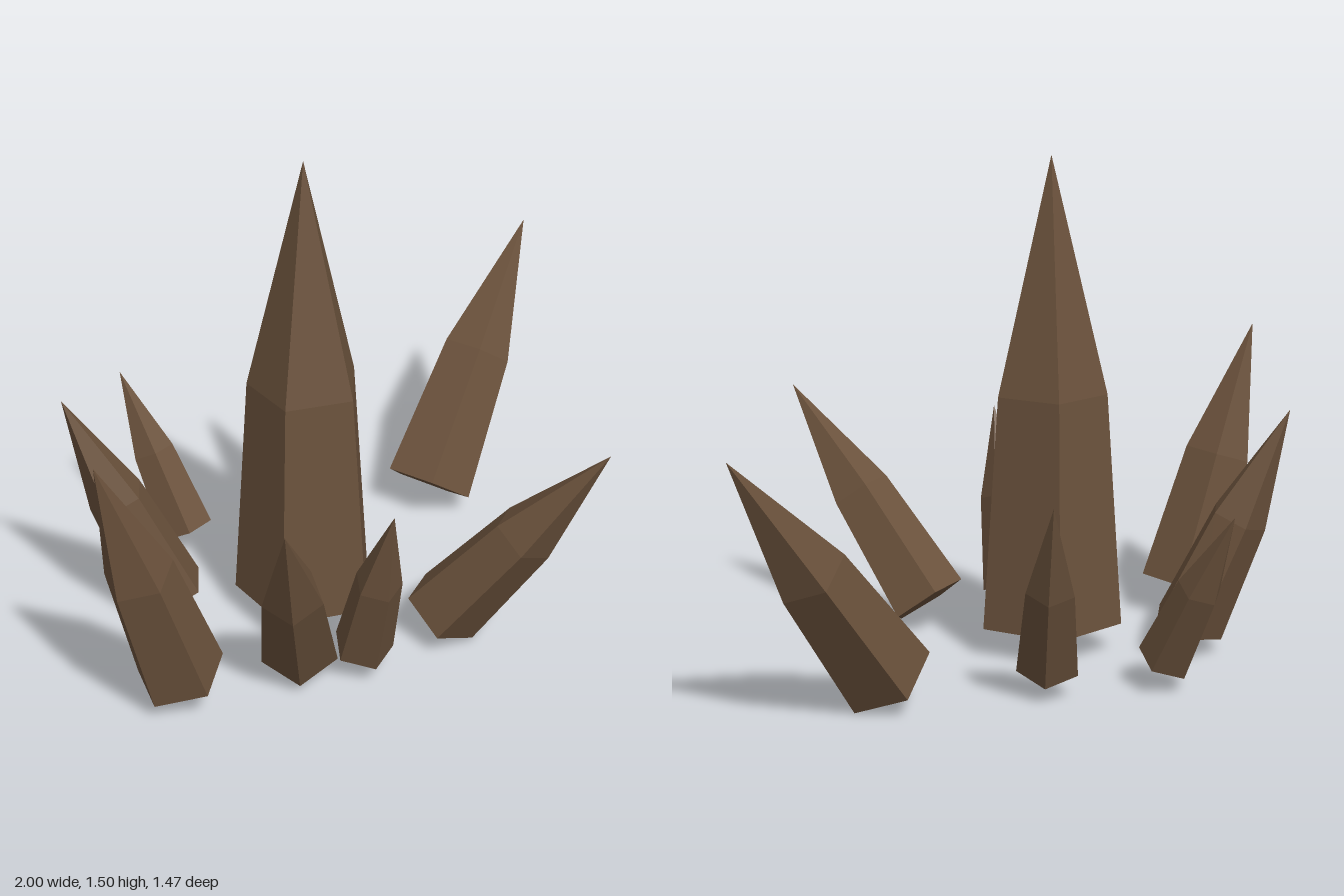
import * as THREE from 'three';

// One crystal: five-sided tapered shaft with a pointed cap.
// Base centre, tip and the azimuth (degrees, from +x towards +z) of one base corner.
function crystal(material, name, base, tip, azimuth) {
  const foot = new THREE.Vector3(...base);
  const axis = new THREE.Vector3(...tip).sub(foot);
  const length = axis.length();
  const radius = 0.156 * length;
  const profile = [
    new THREE.Vector2(0, 0),
    new THREE.Vector2(radius, 0),
    new THREE.Vector2(radius * 0.78, length * 0.5),
    new THREE.Vector2(0, length),
  ];
  const start = Math.PI / 2 - THREE.MathUtils.degToRad(azimuth);
  const mesh = new THREE.Mesh(new THREE.LatheGeometry(profile, 5, start), material);
  mesh.name = name;
  mesh.position.copy(foot);
  mesh.quaternion.setFromUnitVectors(new THREE.Vector3(0, 1, 0), axis.normalize());
  return mesh;
}

export function createModel() {
  const group = new THREE.Group();
  group.name = 'crystalCluster';

  const stone = new THREE.MeshStandardMaterial({ color: 0x6b523c, flatShading: true });
  stone.name = 'brown stone';

  // Tall upright centre with a ring of smaller shards leaning outwards
  const shards = [
    ['centreCrystal', [-0.18, 0.09, -0.005], [-0.18, 1.5, -0.005], 0],
    ['rightCrystal', [-0.73, 0.09, 0.15], [-1.0, 0.9, 0.2], 15],
    ['backRightCrystal', [-0.535, 0.09, -0.22], [-0.78, 0.76, -0.38], -4],
    ['frontRightCrystal', [-0.385, 0.09, 0.25], [-0.63, 0.73, 0.555], 52],
    ['smallFrontCrystal', [-0.225, 0.09, 0.345], [-0.25, 0.64, 0.53], 27],
    ['frontLeftCrystal', [0.075, 0.09, 0.33], [0.355, 0.725, 0.73], 58],
    ['leftCrystal', [0.468, 0.09, -0.265], [0.995, 0.81, -0.465], -17],
    ['backLeftCrystal', [0.02, 0.09, -0.395], [0.125, 0.625, -0.635], 13],
    ['smallBackCrystal', [-0.315, 0.09, -0.485], [-0.385, 0.565, -0.735], 38],
  ];
  for (const [name, base, tip, azimuth] of shards) {
    group.add(crystal(stone, name, base, tip, azimuth));
  }
  return group;
}
